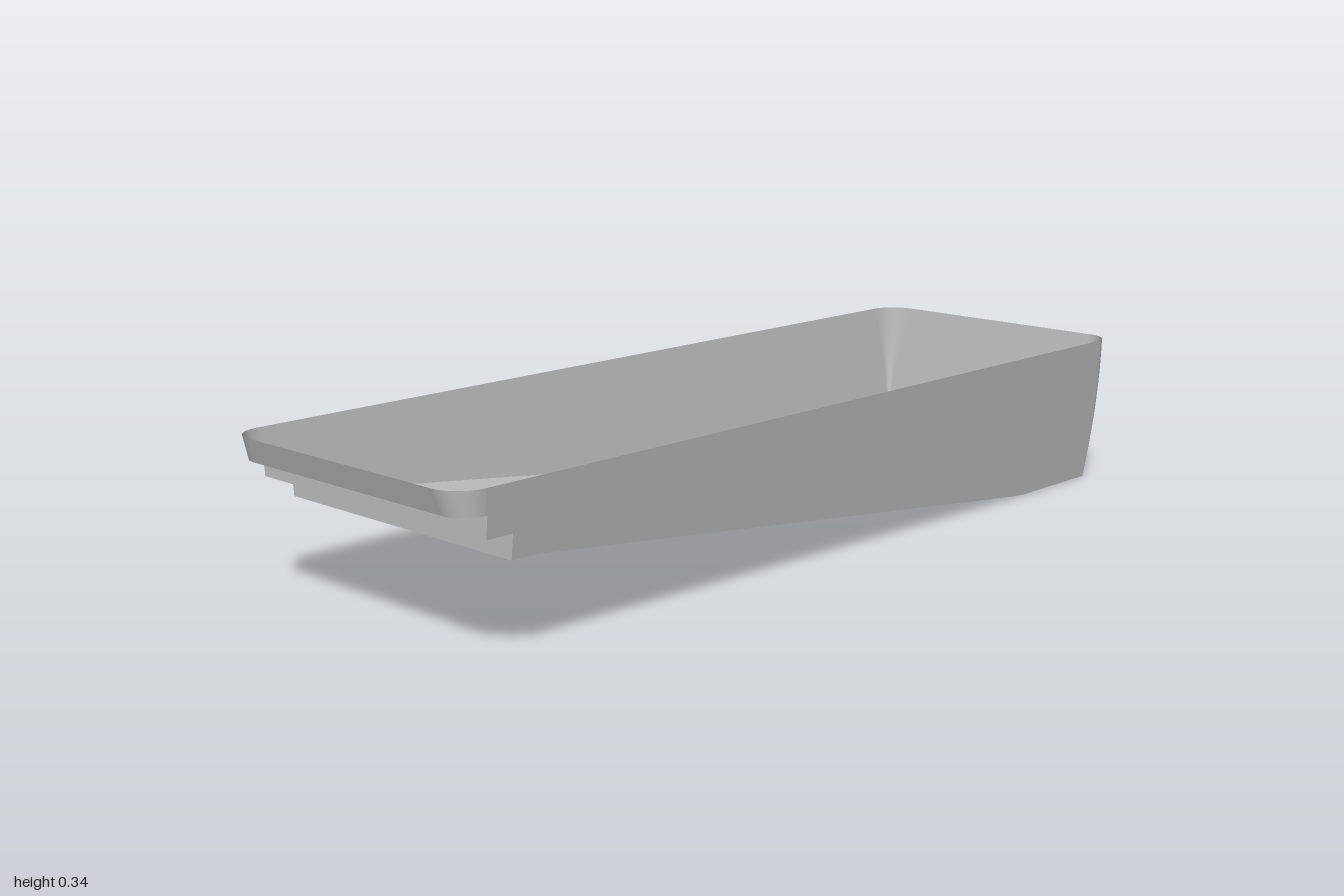
import * as THREE from 'three';

const RIM = 0.335;
const LEVELS = 12;
const ARC = 10;

// Half width of the tapering shell, end wall positions and corner radii by height
const halfWidth = y => 0.299 + 0.036 * y / RIM;
const deepEnd = y => 0.953 + 0.047 * y / RIM;
const deepRadius = y => 0.003 + 0.062 * Math.pow(y / RIM, 2.2);
const stepEnd = y => -1 + 0.015 * (RIM - y) / 0.05;
const stepRadius = y => 0.065 - 0.015 * (RIM - y) / 0.05;

// Smooth surface through a list of equally long point columns
function sheet(columns, flip = false) {
  const n = columns[0].length;
  const index = [];
  for (let i = 0; i < columns.length - 1; i++) {
    for (let j = 0; j < n - 1; j++) {
      const a = i * n + j, b = a + n, c = b + 1, d = a + 1;
      if (flip) index.push(a, c, b, a, d, c);
      else index.push(a, b, c, a, c, d);
    }
  }
  const geometry = new THREE.BufferGeometry();
  geometry.setAttribute('position', new THREE.Float32BufferAttribute(columns.flat(2), 3));
  geometry.setIndex(index);
  geometry.computeVertexNormals();
  return geometry;
}

// Vertical run of points from a bottom height up to the rim
function column(bottom, point) {
  return Array.from({ length: LEVELS + 1 }, (_, i) => point(bottom + (RIM - bottom) * i / LEVELS));
}

export function createModel() {
  const group = new THREE.Group();
  group.name = 'poolShell';
  const shell = new THREE.MeshStandardMaterial({ color: 0xc0c0c0, side: THREE.DoubleSide });
  shell.name = 'light grey shell';

  const add = (name, geometry) => {
    const mesh = new THREE.Mesh(geometry, shell);
    mesh.name = name;
    group.add(mesh);
  };

  // Floor strips across the width: [x, y, half width]
  const strip = (name, profile) =>
    add(name, sheet(profile.map(([x, y, w = halfWidth(y)]) => [[x, y, w], [x, y, -w]])));

  strip('slopingFloor', [[-0.80, 0.188], [0.66, 0.005], [0.70, 0.001], [deepEnd(0), 0]]);
  strip('shallowFloor', [[-0.87, 0.19], [-0.80, 0.188]]);
  strip('lowerRiser', [[-0.87, 0.24], [-0.87, 0.19]]);
  strip('lowerTread', [[-0.93, 0.24], [-0.87, 0.24]]);
  strip('upperRiser', [[-0.93, 0.285], [-0.93, 0.24]]);

  // Upper tread, rounded at the end wall
  const top = 0.285;
  const tread = [];
  for (let i = 0; i <= ARC; i++) {
    const a = i / ARC * Math.PI / 2, r = stepRadius(top);
    tread.push([stepEnd(top) + r * (1 - Math.cos(a)), top, halfWidth(top) - r * (1 - Math.sin(a))]);
  }
  tread.push([-0.93, top]);
  strip('upperTread', tread);

  // Side wall panels: [left x, bottom], [right x, bottom]
  const at = x => () => x;
  const panels = [
    [[y => stepEnd(y) + stepRadius(y), top], [at(-0.93), top]],
    [[at(-0.93), 0.24], [at(-0.87), 0.24]],
    [[at(-0.87), 0.19], [at(-0.80), 0.188]],
    [[at(-0.80), 0.188], [at(0.66), 0.005]],
    [[at(0.66), 0.005], [at(0.70), 0.001]],
    [[at(0.70), 0.001], [y => deepEnd(y) - deepRadius(y), 0]],
  ];
  for (const side of [1, -1]) {
    const label = side > 0 ? 'front' : 'back';
    panels.forEach((panel, i) => add(`${label}Wall${i + 1}`, sheet(
      panel.map(([x, bottom]) => column(bottom, y => [x(y), y, side * halfWidth(y)])), side < 0)));

    // Rounded corners that narrow towards the floor
    const corner = (bottom, end, radius, dir) => Array.from({ length: ARC + 1 }, (_, i) => {
      const a = i / ARC * Math.PI / 2;
      return column(bottom, y => [
        end(y) - dir * radius(y) * (1 - Math.sin(a)), y,
        side * (halfWidth(y) - radius(y) * (1 - Math.cos(a))),
      ]);
    });
    add(`${label}DeepCorner`, sheet(corner(0, deepEnd, deepRadius, 1), side < 0));
    add(`${label}StepCorner`, sheet(corner(top, stepEnd, stepRadius, -1), side > 0));
  }

  // Flat end walls between the corners
  const endWall = (bottom, end, radius) => [1, -1].map(s =>
    column(bottom, y => [end(y), y, s * (halfWidth(y) - radius(y))]));
  add('deepEndWall', sheet(endWall(0, deepEnd, deepRadius)));
  add('stepEndWall', sheet(endWall(top, stepEnd, stepRadius), true));

  return group;
}
